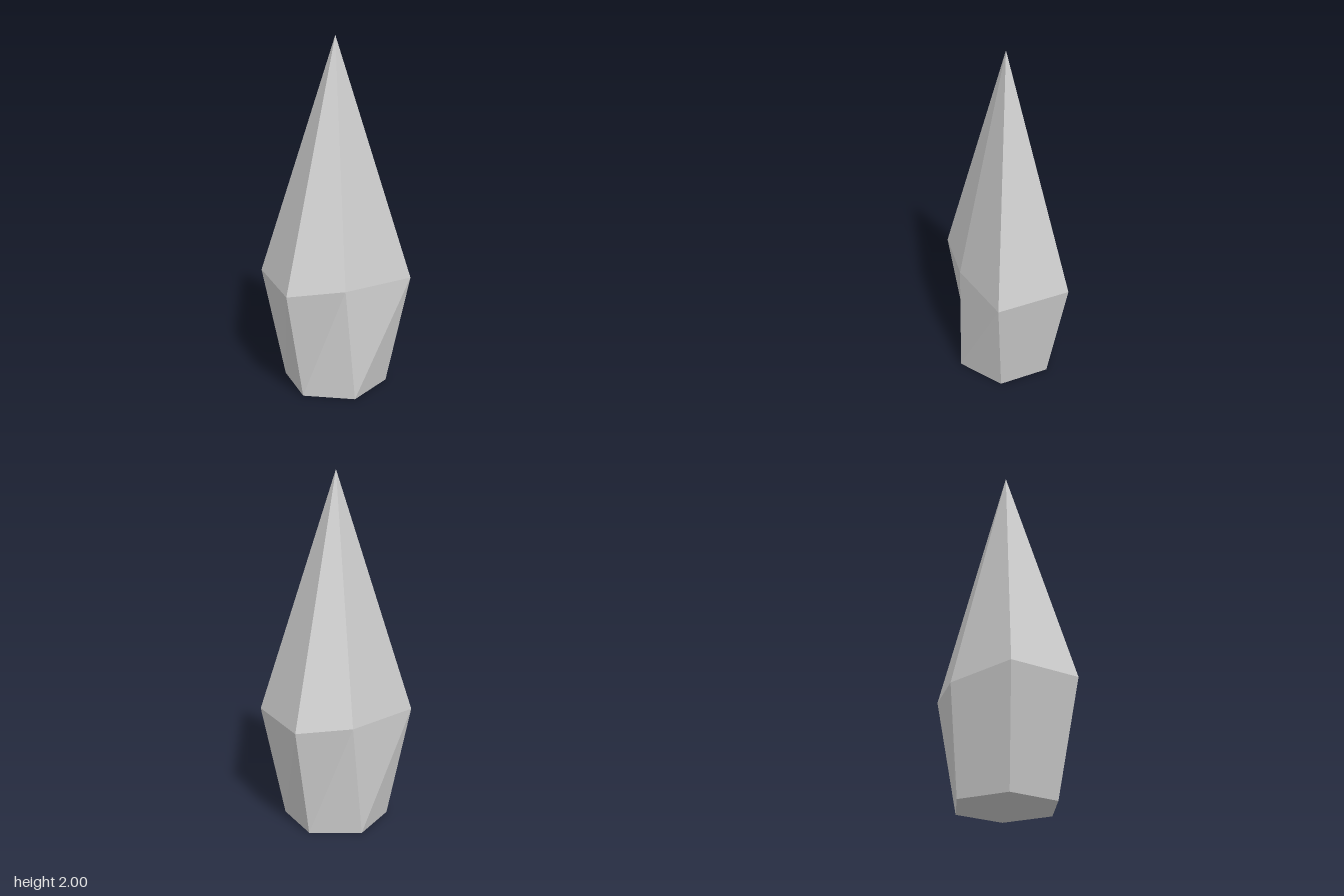
import * as THREE from 'three';

export function createModel() {
  const group = new THREE.Group();
  group.name = 'crystal';

  // Regular hexagonal foot
  const foot = Array.from({ length: 6 }, (_, i) => {
    const a = (i * Math.PI) / 3;
    return [0.295 * Math.cos(a), 0, 0.295 * Math.sin(a)];
  });
  // Uneven widest ring, as x and z
  const waist = [
    [0.425, 0], [0.092, 0.253], [-0.213, 0.368],
    [-0.425, 0], [-0.095, -0.3], [0.213, -0.368],
  ].map(([x, z]) => [x, 0.65, z]);
  const tip = [0, 2, 0];
  const centre = [0, 0, 0];

  const corners = [];
  for (let i = 0; i < 6; i++) {
    const j = (i + 1) % 6;
    corners.push(foot[i], waist[i], foot[j]); // lower sides
    corners.push(waist[i], waist[j], foot[j]);
    corners.push(waist[i], tip, waist[j]); // point
    corners.push(centre, foot[i], foot[j]); // underside
  }

  const geometry = new THREE.BufferGeometry();
  geometry.setAttribute('position', new THREE.Float32BufferAttribute(corners.flat(), 3));
  geometry.computeVertexNormals();

  const shard = new THREE.Mesh(
    geometry,
    new THREE.MeshStandardMaterial({ color: 0xcccccc, flatShading: true }),
  );
  shard.name = 'crystalShard';
  group.add(shard);
  return group;
}
